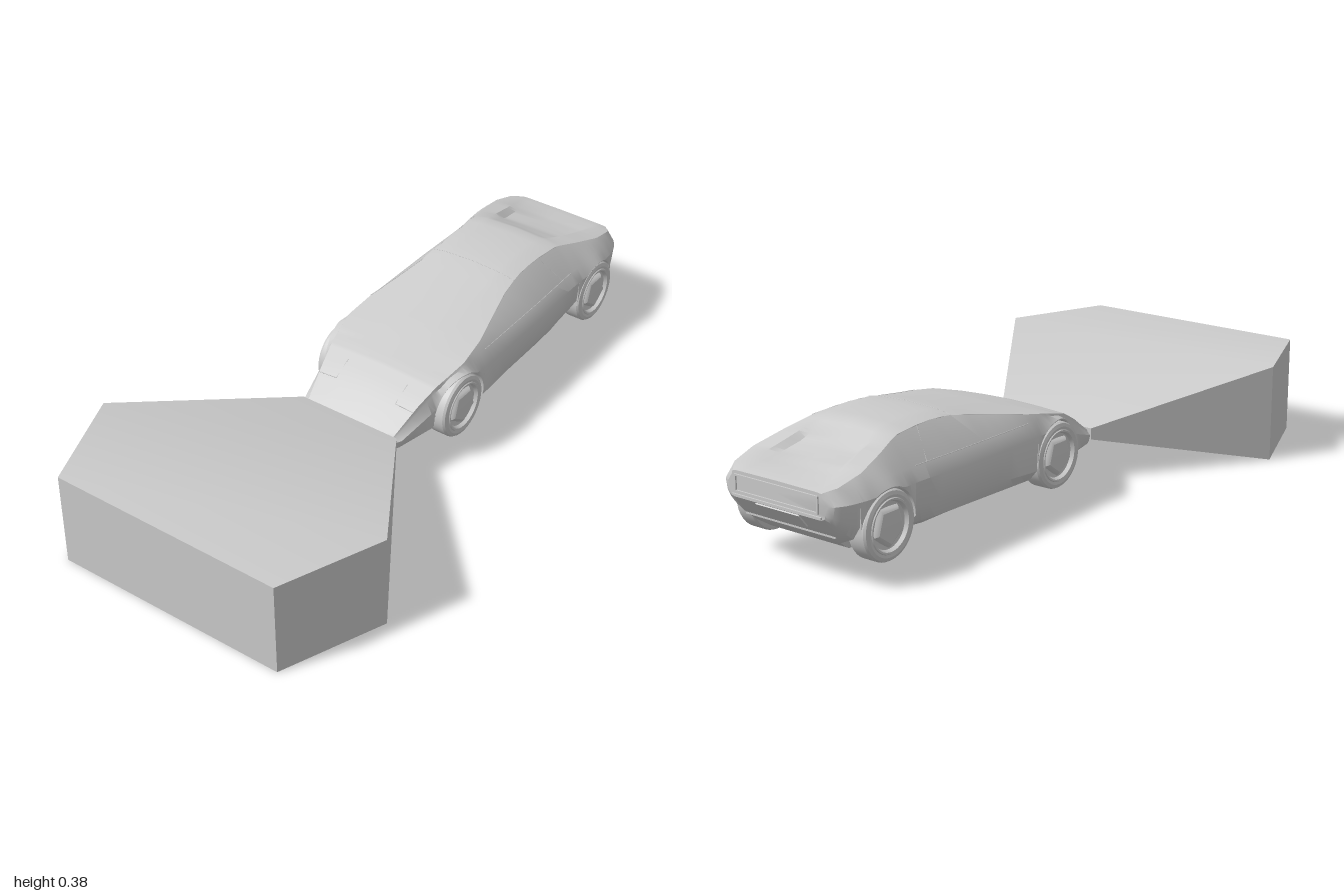
import * as THREE from 'three';
import { toCreasedNormals } from 'three/addons/utils/BufferGeometryUtils.js';

const grey = new THREE.MeshStandardMaterial({ color: 0xcccccc, side: THREE.DoubleSide });

// Piecewise-linear curve through [x, value] pairs
const curve = (...pts) => (x) => {
  let i = 1;
  while (i < pts.length - 1 && x > pts[i][0]) i++;
  const [a, va] = pts[i - 1], [b, vb] = pts[i];
  return va + (vb - va) * THREE.MathUtils.clamp((x - a) / (b - a), 0, 1);
};

function mesh(name, geometry, x = 0, y = 0, z = 0) {
  const m = new THREE.Mesh(geometry, grey);
  m.name = name;
  m.position.set(x, y, z);
  return m;
}

// Skin closed rings of [x, y, z] points laid out along +x, with end caps
function loft(rings, crease) {
  const n = rings[0].length, pos = rings.flat(2), idx = [];
  for (let i = 0; i < rings.length - 1; i++) {
    for (let j = 0; j < n; j++) {
      const k = (j + 1) % n, a = i * n + j, c = i * n + k;
      idx.push(a, a + n, c, a + n, c + n, c);
    }
  }
  [0, rings.length - 1].forEach((r) => {
    const mid = [0, 1, 2].map((c) => rings[r].reduce((s, p) => s + p[c], 0) / n);
    const m = pos.length / 3;
    pos.push(...mid);
    for (let j = 0; j < n; j++) {
      const a = r * n + j, b = r * n + (j + 1) % n;
      idx.push(m, ...(r === 0 ? [a, b] : [b, a]));
    }
  });
  const g = new THREE.BufferGeometry();
  g.setAttribute('position', new THREE.Float32BufferAttribute(pos, 3));
  g.setIndex(idx);
  return toCreasedNormals(g, crease);
}

// Body curves along the length: heights (Y) and half widths (Z)
const topY = curve([-0.18, 0.158], [-0.15, 0.182], [-0.08, 0.228], [-0.01, 0.264], [0.06, 0.282], [0.165, 0.309],
  [0.3, 0.338], [0.46, 0.37], [0.52, 0.376], [0.6, 0.378], [0.69, 0.374], [0.73, 0.358], [0.85, 0.322], [0.97, 0.288], [1, 0.279]);
const roofY = curve([-0.18, 0.156], [-0.08, 0.22], [-0.01, 0.256], [0.1, 0.286], [0.3, 0.324],
  [0.46, 0.357], [0.55, 0.364], [0.68, 0.361], [0.73, 0.349], [0.85, 0.317], [0.97, 0.286], [1, 0.276]);
const roofZ = curve([-0.18, 0.155], [-0.08, 0.176], [0, 0.194], [0.1, 0.212], [0.2, 0.202], [0.3, 0.178], [0.4, 0.155],
  [0.5, 0.145], [0.6, 0.146], [0.7, 0.153], [0.78, 0.174], [0.88, 0.193], [0.96, 0.185], [1, 0.155]);
const beltY = curve([-0.18, 0.15], [-0.08, 0.205], [-0.01, 0.243], [0.1, 0.28], [0.7, 0.284], [0.85, 0.288], [0.97, 0.274], [1, 0.266]);
const sideZ = curve([-0.18, 0.165], [-0.165, 0.178], [-0.03, 0.207], [0.08, 0.233], [0.2, 0.24], [0.5, 0.239],
  [0.67, 0.233], [0.75, 0.238], [0.82, 0.241], [0.9, 0.233], [0.955, 0.217], [0.985, 0.196], [1, 0.168]);
const creaseY = curve([-0.18, 0.142], [-0.08, 0.175], [0.1, 0.238], [0.5, 0.24], [0.85, 0.25], [1, 0.245]);
const sillY = curve([-0.18, 0.125], [-0.04, 0.125], [0.18, 0.135], [0.7, 0.175], [0.92, 0.178], [1, 0.222]);
const floorY = curve([-0.18, 0.115], [-0.02, 0.105], [0.17, 0.087], [0.87, 0.086], [0.92, 0.12], [0.945, 0.143], [1, 0.21]);
const floorZ = curve([-0.18, 0.15], [-0.05, 0.16], [0.6, 0.16], [0.72, 0.135], [0.87, 0.135], [0.945, 0.162], [1, 0.155]);
const deckDrop = curve([0.7, 0], [0.79, 0.017], [0.9, 0.012], [0.99, 0]);
const deckZ = curve([0.7, 0.108], [0.97, 0.145]);

const WHEEL_X = [0.07, 0.815], WHEEL_Y = 0.155, ARCH = 0.104, TAIL = 0.995;

// One body cross-section; archY is the wheel arch height, or null
function section(x, archY) {
  const f = floorY(x), z = sideZ(x), fz = floorZ(x);
  const cy = archY === null ? creaseY(x) : Math.max(creaseY(x), archY + 0.004);
  const by = Math.max(beltY(x), cy + 0.006);
  const ry = Math.max(roofY(x), by + 0.002), ty = Math.max(topY(x), ry + 0.002);
  const dz = Math.min(deckZ(x), roofZ(x) - 0.01);
  const half = [
    [f, fz],
    archY === null ? [f + 0.35 * (sillY(x) - f), fz + 0.6 * (z - fz)] : [archY, 0.165],
    archY === null ? [sillY(x), z - 0.006] : [archY, z - 0.002],
    [cy, z],
    [by, Math.max(z - 0.02, roofZ(x) + 0.003)],
    [ry, roofZ(x)],
    [ry + (ty - ry) * 0.6, dz],
    [ry + (ty - ry) * 0.7 - deckDrop(x), dz - 0.022],
  ];
  const left = half.map(([y, w]) => [x, y, w]);
  const right = half.map(([y, w]) => [x, y, -w]).reverse();
  return [[x, f, 0], ...left, [x, ty - deckDrop(x), 0], ...right];
}

function bodyGeometry() {
  const stations = [];
  const xs = [-0.18, -0.165, -0.15, -0.11, -0.08, -0.05, 0.2, 0.25, 0.3, 0.35, 0.4, 0.46, 0.5, 0.55, 0.6, 0.65, 0.69,
    0.93, 0.945, 0.96, 0.97, 0.985, TAIL];
  xs.forEach((x) => stations.push([x, null]));
  WHEEL_X.forEach((wx) => {
    stations.push([wx - ARCH - 0.0005, null], [wx + ARCH + 0.0005, null]);
    for (let i = 0; i <= 18; i++) {
      const t = Math.PI * i / 18;
      stations.push([wx - ARCH * Math.cos(t), WHEEL_Y + ARCH * Math.sin(t)]);
    }
  });
  stations.sort((a, b) => a[0] - b[0]);
  return loft(stations.map(([x, a]) => section(x, a)), 0.55);
}

// Tyre, dished rim and five-sided hub, outer face towards +z
function wheel(name) {
  const g = new THREE.Group();
  g.name = name;
  const lathe = (pts, sides) => toCreasedNormals(
    new THREE.LatheGeometry(pts.map(([r, a]) => new THREE.Vector2(r, a)), sides).rotateX(Math.PI / 2), 0.5);
  g.add(mesh('tyre', lathe([[0, -0.034], [0.088, -0.034], [0.096, -0.031], [0.1, -0.024], [0.1, 0.024],
    [0.096, 0.031], [0.086, 0.035], [0.078, 0.033]], 40)));
  g.add(mesh('rim', lathe([[0.078, 0.033], [0.076, 0.036], [0.071, 0.035], [0.066, 0.024], [0.052, 0.021], [0, 0.021]], 40)));
  g.add(mesh('hub', lathe([[0.064, 0.021], [0.057, 0.031], [0.05, 0.035], [0, 0.037]], 5)));
  return g;
}

// Flat rectangular border facing +x
function frameGeometry(w, h, t, depth) {
  const rect = (S, a, b) => new S([[-a, -b], [a, -b], [a, b], [-a, b]].map(([x, y]) => new THREE.Vector2(x, y)));
  const s = rect(THREE.Shape, w, h);
  s.holes.push(rect(THREE.Path, w - t, h - t));
  return new THREE.ExtrudeGeometry(s, { depth, bevelEnabled: false }).rotateY(Math.PI / 2);
}

// Thin strip through points lying on the body
function seam(name, pts) {
  const path = new THREE.CurvePath();
  const v = pts.map((p) => new THREE.Vector3(...p));
  for (let i = 1; i < v.length; i++) path.add(new THREE.LineCurve3(v[i - 1], v[i]));
  return mesh(name, new THREE.TubeGeometry(path, 40, 0.0012, 5));
}

export function createModel() {
  const model = new THREE.Group();
  model.name = 'carWithLightBeam';
  model.add(mesh('body', bodyGeometry()));

  // Wheels
  WHEEL_X.forEach((x, i) => [1, -1].forEach((s) => {
    const w = wheel(i ? 'rearWheel' : 'frontWheel');
    w.position.set(x, WHEEL_Y, s * 0.203);
    if (s < 0) w.rotation.y = Math.PI;
    model.add(w);
  }));

  // Tail panel: lamp surround, bumper strips, plate
  model.add(mesh('tailLampFrame', frameGeometry(0.15, 0.025, 0.005, 0.005), TAIL, 0.245, 0));
  model.add(mesh('bumperStrip', new THREE.BoxGeometry(0.01, 0.006, 0.32), TAIL, 0.211, 0));
  model.add(mesh('lowerBumperLip', new THREE.BoxGeometry(0.008, 0.005, 0.324), 0.945, 0.144, 0));
  const plate = mesh('numberPlate', new THREE.BoxGeometry(0.008, 0.05, 0.156), 0.978, 0.183, 0);
  plate.rotation.z = -0.69;
  model.add(plate);

  // Side window outline, door pillar and hood lamp lids
  const on = (x, i, s) => section(x, null)[i].map((c, k) => (k === 2 ? c * s : c));
  [1, -1].forEach((s) => {
    model.add(seam('windowTrim', [0.2, 0.3, 0.4, 0.5, 0.6, 0.69].map((x) => on(x, 6, s))));
    model.add(seam('beltTrim', [0.2, 0.35, 0.5, 0.69].map((x) => on(x, 5, s))));
    model.add(seam('doorPillar', [on(0.6, 6, s), on(0.64, 5, s)]));
    model.add(seam('lampLidEdge', [on(-0.1, 6, s), on(-0.1, 7, s), on(-0.04, 7, s)]));
  });
  model.add(seam('windscreenSeam', [6, 7, 8, 9, 10, 11, 12].map((i) => on(0.46, i, 1))));

  // Light beam volume in front of the nose
  const beam = [[-1, 0.375, 0, 0.3], [-0.68, 0.5, 0, 0.3], [-0.18, 0.17, 0.128, 0.163]];
  model.add(mesh('lightBeam', loft(beam.map(([x, z, lo, hi]) =>
    [[x, lo, z], [x, hi, z], [x, hi, -z], [x, lo, -z]]), 0.5)));
  return model;
}
